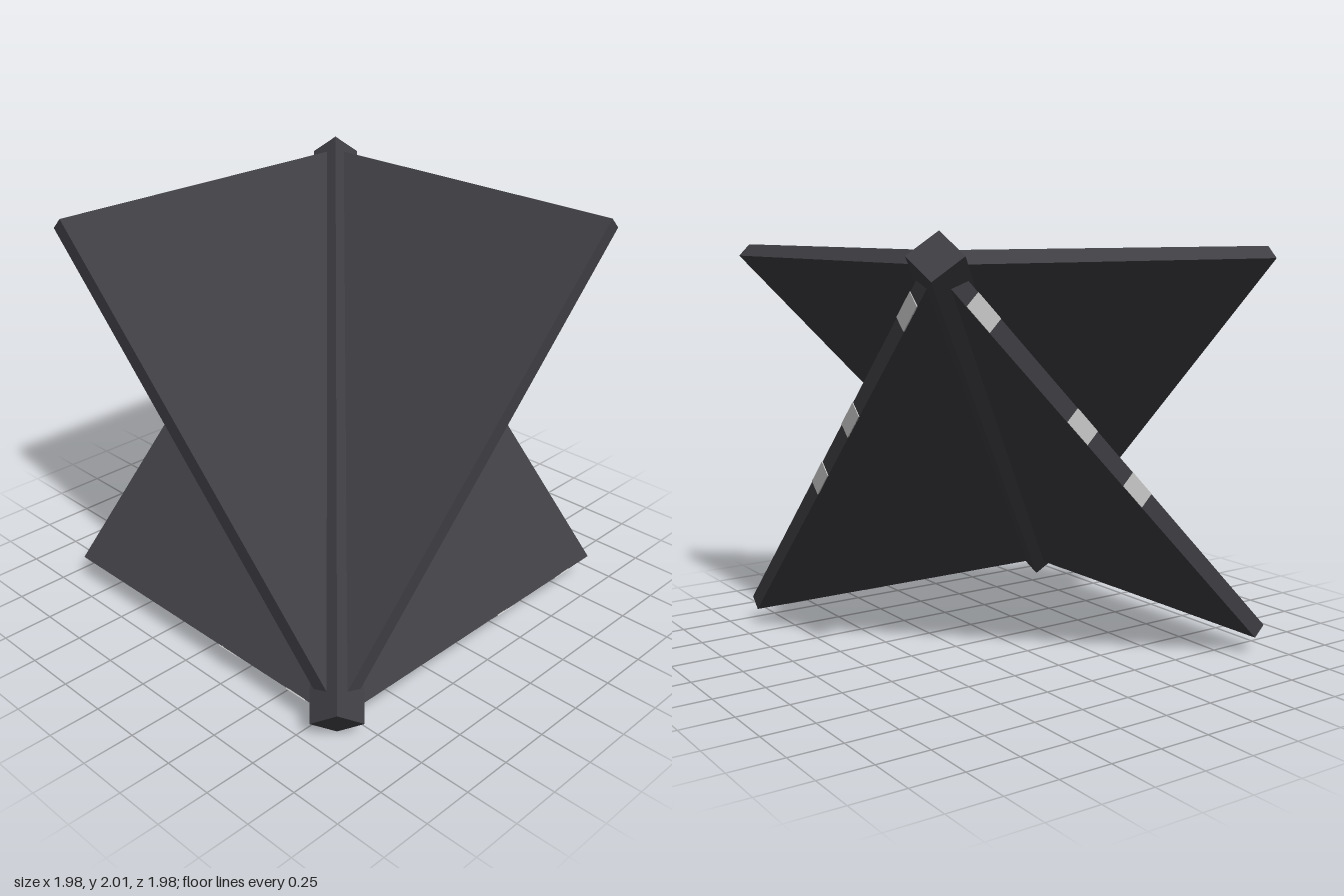
import * as THREE from 'three';

const WIDTH = 1.8, LENGTH = 2.54, THICK = 0.077;

// Turns an object so its local x and y axes point along the given directions
function orient(object, xDir, yDir) {
  const x = new THREE.Vector3(...xDir).normalize();
  const y = new THREE.Vector3(...yDir).normalize();
  const z = new THREE.Vector3().crossVectors(x, y);
  object.quaternion.setFromRotationMatrix(new THREE.Matrix4().makeBasis(x, y, z));
}

function box(name, size, material, position = [0, 0, 0]) {
  const mesh = new THREE.Mesh(new THREE.BoxGeometry(...size), material);
  mesh.name = name;
  mesh.position.set(...position);
  return mesh;
}

export function createModel() {
  const panelGrey = new THREE.MeshStandardMaterial({ color: 0x3e3e43 });
  panelGrey.name = 'dark panel grey';
  const lightGrey = new THREE.MeshStandardMaterial({ color: 0xc8c8c8 });
  lightGrey.name = 'light marking grey';

  const model = new THREE.Group();
  model.name = 'crossedPanels';

  // Square central spar along the cube diagonal, one ridge facing up and forward
  const spar = box('spar', [0.166, 3.142, 0.166], panelGrey, [0, 1, 0]);
  const ridge = new THREE.Vector3(1, 2, 1).normalize();
  const side = new THREE.Vector3(1, 0, -1).normalize();
  orient(spar, ridge.add(side).toArray(), [-1, 1, -1]);
  model.add(spar);

  // Two slabs crossing on the spar, each with markings on two of its edges
  const panels = [
    { name: 'widePanel', x: [1, 0, 0], y: [0, 1, -1], endMarks: [0.22, 0.67] },
    { name: 'deepPanel', x: [0, 0, 1], y: [-1, 1, 0], endMarks: [-0.22, -0.675] },
  ];
  for (const p of panels) {
    const panel = new THREE.Group();
    panel.name = p.name;
    panel.add(box('slab', [WIDTH, LENGTH, THICK], panelGrey));
    for (const x of p.endMarks) {
      panel.add(box('lowerEdgeMark', [0.118, 0.006, THICK], lightGrey, [x, -LENGTH / 2 - 0.001, 0]));
    }
    for (const t of [0.12, 0.395, 0.565]) {
      panel.add(box('sideEdgeMark', [0.006, 0.15, THICK], lightGrey, [-WIDTH / 2 - 0.001, LENGTH * (0.5 - t), 0]));
    }
    orient(panel, p.x, p.y);
    panel.position.y = 1.003;
    model.add(panel);
  }
  return model;
}
